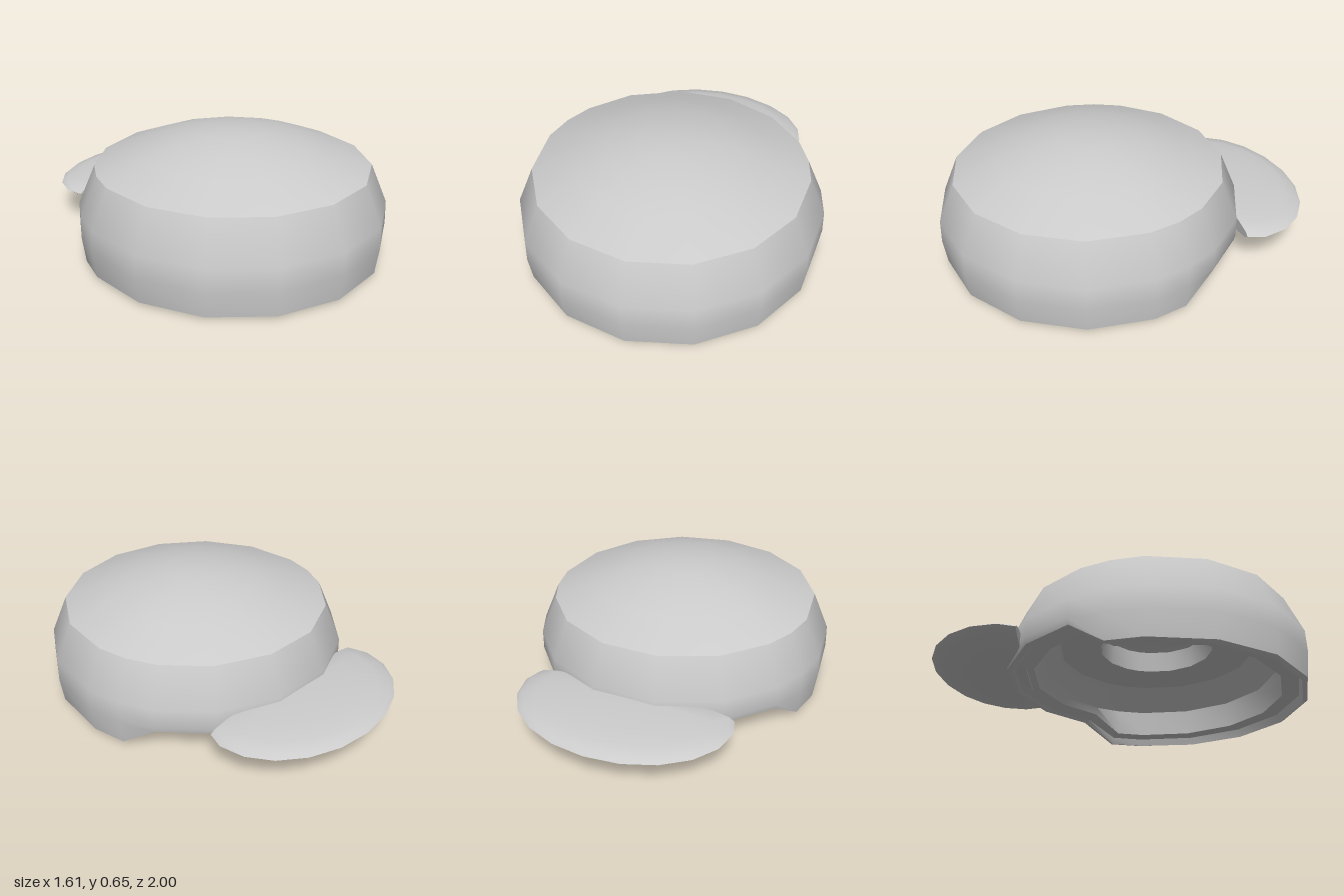
import * as THREE from 'three';
import { toCreasedNormals } from 'three/addons/utils/BufferGeometryUtils.js';

const CENTRE_Z = 0.195;

// Column angles in degrees: a 15-sided ring with extra columns at the rear cut-out
const half = [0, 24, 48, 72, 96, 109.3, 122.3, 144, 168];
const angles = [...half, ...half.map(a => 360 - a).reverse()];

// Closed section (radius, height) in three runs: hollow inside, rim, outside
const inside = [[0, 0.45], [0.24, 0.45], [0.285, 0.43], [0.305, 0.32], [0.525, 0.305], [0.64, 0.185]];
const frontRim = [[0.66, 0.05], [0.75, 0.05], [0.765, 0.005], [0.79, 0.02], [0.807, 0.15]];
const rearRim = [[0.66, 0.15], [0.75, 0.145], [0.77, 0.131], [0.797, 0.136], [0.805, 0.165]];
const outside = [
  [0.803, 0.27], [0.715, 0.475], [0.5, 0.56], [0.335, 0.61], [0.165, 0.642], [0, 0.651],
];
const frontSection = [...inside, ...frontRim, ...outside];
const rearSection = [...inside, ...rearRim, ...outside];

function crownGeometry() {
  const points = frontSection.map(([r, y]) => new THREE.Vector2(r, y));
  const geometry = new THREE.LatheGeometry(points, angles.length - 1);
  const pos = geometry.attributes.position;
  for (let i = 0; i < pos.count; i++) {
    const deg = angles[Math.floor(i / points.length)];
    const a = THREE.MathUtils.degToRad(deg);
    // The rim is raised at the back, above the brim opening
    const section = deg > 120 && deg < 240 ? rearSection : frontSection;
    const [r, y] = section[i % points.length];
    // The lower lip rises slightly from front to back
    const tilt = y < 0.01 ? 0.0075 * (1 - Math.cos(a)) : 0;
    pos.setXYZ(i, r * Math.sin(a), y + tilt, CENTRE_Z + r * Math.cos(a));
  }
  return toCreasedNormals(geometry, 0.6);
}

// Flat lens with its front part cut off along a straight line
function brimGeometry() {
  const geometry = new THREE.SphereGeometry(1, 20, 10);
  geometry.scale(0.57, 0.055, 0.42);
  geometry.translate(0, 0.195, -0.58);
  const pos = geometry.attributes.position;
  for (let i = 0; i < pos.count; i++) pos.setZ(i, Math.min(pos.getZ(i), -0.49));
  return toCreasedNormals(geometry, 0.8);
}

export function createModel() {
  const group = new THREE.Group();
  group.name = 'cap';
  const material = new THREE.MeshStandardMaterial({ color: 0xcccccc });
  const add = (name, geometry) => {
    const mesh = new THREE.Mesh(geometry, material);
    mesh.name = name;
    group.add(mesh);
  };
  add('crown', crownGeometry());
  add('brim', brimGeometry());
  return group;
}
